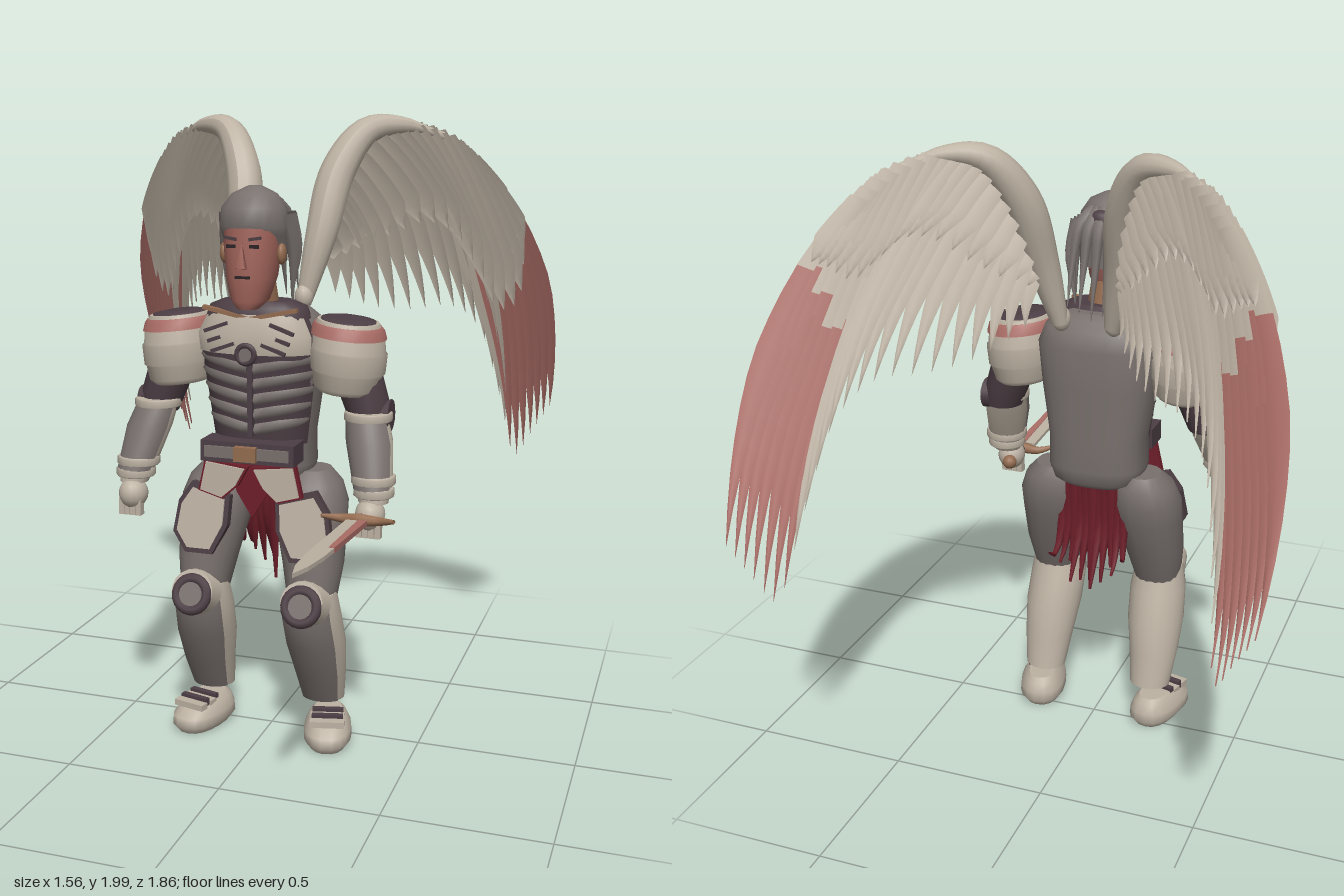
import * as THREE from 'three';

const mat = (name, color) => {
  const m = new THREE.MeshStandardMaterial({ color, side: THREE.DoubleSide });
  m.name = name;
  return m;
};
const V = (x, y, z) => new THREE.Vector3(x, y, z);

export function createModel() {
  const bone = mat('bone', 0xbdb2a3), grey = mat('steel grey', 0x78706d), dark = mat('dark plum', 0x4c3e44);
  const pink = mat('faded red', 0xab6d66), red = mat('dark red', 0x6e1f2a), skin = mat('skin', 0xa0645a);
  const tan = mat('leather', 0x946c50), black = mat('black', 0x2a2225);
  const root = new THREE.Group();
  root.name = 'wingedKnight';

  const add = (name, geo, material, parent = root) => {
    const m = new THREE.Mesh(geo, material);
    m.name = name;
    parent.add(m);
    return m;
  };
  const group = (name, parent = root) => {
    const g = new THREE.Group();
    g.name = name;
    parent.add(g);
    return g;
  };

  // Body from horizontal rings [x, y, z, rx, rz], bottom to top; a0..a1 gives a partial shell
  function loft(rows, p = 2, n = 16, a0 = 0, a1 = Math.PI * 2) {
    const pos = [], idx = [], closed = a1 - a0 > 6.28, cols = closed ? n : n + 1;
    const pw = (v) => Math.sign(v) * Math.pow(Math.abs(v), 2 / p);
    const ring = ([x, y, z, rx, rz]) => {
      for (let j = 0; j < cols; j++) {
        const a = a0 + (a1 - a0) * j / n;
        pos.push(x + rx * pw(Math.cos(a)), y, z + rz * pw(Math.sin(a)));
      }
    };
    rows.forEach(ring);
    for (let i = 0; i < rows.length - 1; i++) for (let j = 0; j < n; j++) {
      const a = i * cols + j, b = i * cols + (j + 1) % cols, c = a + cols, d = b + cols;
      idx.push(a, c, b, b, c, d);
    }
    if (closed) [rows[0], rows[rows.length - 1]].forEach((r, top) => {
      const s = pos.length / 3;
      ring(r);
      pos.push(r[0], r[1], r[2]);
      for (let j = 0; j < n; j++) {
        const k = s + j, l = s + (j + 1) % n;
        idx.push(s + n, top ? l : k, top ? k : l);
      }
    });
    const g = new THREE.BufferGeometry();
    g.setAttribute('position', new THREE.Float32BufferAttribute(pos, 3));
    g.setIndex(idx);
    g.computeVertexNormals();
    return g;
  }
  // Flat plate cut from an outline, facing +z
  const plate = (pts, depth, grow = 1) => {
    const c = pts.reduce((a, q) => [a[0] + q[0] / pts.length, a[1] + q[1] / pts.length], [0, 0]);
    const v = pts.map(([x, y]) => new THREE.Vector2(c[0] + (x - c[0]) * grow, c[1] + (y - c[1]) * grow));
    return new THREE.ExtrudeGeometry(new THREE.Shape(v), { depth, bevelEnabled: false });
  };
  const box = (w, h, d, x, y, z, rz = 0) => new THREE.BoxGeometry(w, h, d).rotateZ(rz).translate(x, y, z);
  const ball = (rx, ry, rz, x, y, z) => new THREE.SphereGeometry(1, 14, 10).scale(rx, ry, rz).translate(x, y, z);
  // Tube whose radius follows a rule
  function taperTube(points, radius, seg = 16, sides = 10) {
    const curve = new THREE.CatmullRomCurve3(points), g = new THREE.TubeGeometry(curve, seg, 1, sides);
    const p = g.attributes.position, v = V(0, 0, 0);
    for (let i = 0; i < p.count; i++) {
      const t = Math.floor(i / (sides + 1)) / seg, c = curve.getPointAt(t);
      v.fromBufferAttribute(p, i).sub(c).multiplyScalar(radius(t)).add(c);
      p.setXYZ(i, v.x, v.y, v.z);
    }
    g.computeVertexNormals();
    return g;
  }

  // Torso, front shell plates and belt
  const torso = group('torso');
  add('body', loft([[0, .865, .05, .12, .09], [0, .885, .05, .148, .113], [0, .93, .05, .16, .12], [0, 1.03, .05, .158, .12], [0, 1.2, .063, .185, .133],
    [0, 1.33, .066, .198, .136], [0, 1.385, .07, .175, .122], [0, 1.415, .075, .14, .1], [0, 1.43, .08, .09, .075]], 2.6, 28), grey, torso);
  add('collar', loft([[0, 1.39, .125, .165, .092], [0, 1.425, .125, .152, .088], [0, 1.442, .125, .11, .07]], 2.3, 22), dark, torso);
  add('abdomenLining', loft([[0, 1, .055, .156, .125], [0, 1.15, .06, .176, .136], [0, 1.28, .067, .194, .142]], 2.6, 20, .3, Math.PI - .3), dark, torso);
  for (let i = 0; i < 5; i++) for (const s of [1, -1]) {
    const y = 1.03 + i * .047, r = .158 + i * .0085, m = Math.PI / 2;
    const g = loft([[0, y, .06, r, .125 + i * .004], [0, y + .018, .064, r + .008, .14 + i * .003], [0, y + .036, .06, r, .13 + i * .004]],
      2.6, 10, s > 0 ? .3 : m + .02, s > 0 ? m - .02 : Math.PI - .3);
    const p = g.attributes.position;
    for (let k = 0; k < p.count; k++) p.setY(k, p.getY(k) + .2 * Math.abs(p.getX(k)));
    g.computeVertexNormals();
    add('abdomenPlate', g, grey, torso);
  }
  add('chestTrim', loft([[0, 1.27, .07, .19, .148], [0, 1.33, .073, .197, .152], [0, 1.418, .08, .16, .125]], 2.6, 20, .35, Math.PI - .35), dark, torso);
  add('chestPlate', loft([[0, 1.285, .073, .197, .153], [0, 1.34, .078, .2, .157], [0, 1.405, .083, .165, .132]], 2.6, 20, .5, Math.PI - .5), bone, torso);
  for (const s of [1, -1]) {
    add('collarTrim', box(.15, .012, .02, s * .075, 1.408, .207, s * .2), tan, torso);
    for (let i = 0; i < 3; i++) add('chestGroove', box(.08, .011, .01, s * (.08 + i * .012), 1.305 + i * .03, .226 - i * .004, s * -.35), dark, torso);
  }
  add('medallionRim', new THREE.TorusGeometry(.027, .009, 8, 18).translate(0, 1.29, .245), dark, torso);
  add('medallion', new THREE.CylinderGeometry(.024, .024, .02, 16).rotateX(Math.PI / 2).translate(0, 1.29, .24), grey, torso);
  add('centreSeam', box(.016, .22, .02, 0, 1.14, .2), dark, torso);
  add('belt', box(.3, .065, .1, 0, .985, .19), dark, torso);
  add('beltPanel', box(.27, .035, .012, 0, .985, .243), grey, torso);
  add('buckle', box(.07, .045, .03, 0, .985, .248), tan, torso);

  // Hip plates and torn cloth
  const skirt = group('skirt');
  add('frontCloth', plate([[-.08, .95], [.08, .95], [.05, .85], [0, .77], [-.05, .85]], .008).translate(0, 0, .185), red, skirt);
  for (const s of [1, -1]) {
    const tasset = [[.015, .93], [.14, .945], [.16, .855], [.09, .835], [.045, .875]].map(([x, y]) => [x * s, y]);
    add('hipPlateTrim', plate(tasset, .02, 1.13).translate(0, 0, .195), red, skirt);
    add('hipPlate', plate(tasset, .02).translate(0, 0, .203), bone, skirt);
  }
  for (let i = -5; i <= 5; i++) {
    const x = i * .021, y = .5 + Math.abs(i) * .024 + (i % 2 ? .02 : 0), k = ((i + 6) % 3) * .03;
    const strip = taperTube([V(x, .87, .0), V(x, .72, -.012), V(x * 1.08, .62, -.03 - k * .5), V(x * 1.12, y, -.04 - k)],
      (t) => .03 * (1 - t * .85), 8, 6);
    add('tornStrip', strip, red, skirt);
  }

  // Head
  const head = group('head');
  add('neck', loft([[0, 1.4, .13, .07, .06], [0, 1.55, .165, .058, .055]]), tan, head);
  add('face', loft([[0, 1.425, .22, .032, .035], [0, 1.45, .2, .056, .066], [0, 1.52, .183, .075, .088], [0, 1.61, .175, .085, .094],
    [0, 1.7, .17, .085, .09]], 2.2, 20), skin, head);
  add('nose', new THREE.ConeGeometry(.02, .075, 4).rotateY(Math.PI / 4).rotateX(-.15).translate(0, 1.585, .275), skin, head);
  add('mouth', box(.045, .008, .008, 0, 1.522, .27), black, head);
  add('hairCap', loft([[0, 1.56, .13, .09, .065], [0, 1.64, .155, .1, .09], [0, 1.665, .165, .104, .1], [0, 1.72, .165, .097, .095],
    [0, 1.76, .16, .068, .068], [0, 1.783, .155, .02, .02]], 2, 20), grey, head);
  for (const s of [1, -1]) {
    add('eye', box(.028, .01, .008, s * .036, 1.612, .266), black, head);
    add('eyebrow', box(.038, .009, .008, s * .038, 1.635, .266, s * .15), dark, head);
    add('ear', ball(.014, .032, .022, s * .09, 1.585, .175), tan, head);
    for (let i = 0; i < 3; i++) add('sideLock', taperTube([V(s * .09, 1.7, .16 - i * .03), V(s * .106, 1.6, .13 - i * .03),
      V(s * (.1 - i * .01), 1.42 + i * .015, .1 - i * .025)], (t) => .021 * (1.1 - t), 8, 6), grey, head);
  }
  add('hairTie', ball(.045, .03, .03, 0, 1.715, .07), dark, head);
  for (let i = -2; i <= 2; i++) add('backLock', taperTube([V(i * .014, 1.735, .09), V(i * .03, 1.7, .05), V(i * .038, 1.57, .01),
    V(i * .038, 1.42 + Math.abs(i) * .02, -.03)], (t) => .025 * (1.05 - t), 10, 6), grey, head);

  for (const s of [1, -1]) {
    const side = s > 0 ? 'left' : 'right';
    const L = (rows) => rows.map(([x, ...r]) => [x * s, ...r]);
    // A shell sector centred on the front
    const front = (rows, half) => loft(L(rows), 2, 12, Math.PI / 2 - half, Math.PI / 2 + half);

    // Arm with layered, domed shoulder guard
    const arm = group(side + 'Arm');
    const guard = group('shoulder', arm);
    guard.position.set(s * .268, 1.285, .09);
    guard.rotation.z = s * -.1;
    add('shoulderGuard', loft(L([[.012, -.115, 0, .085, .098], [.012, -.1, 0, .1, .112], [.01, -.055, 0, .108, .119], [.01, -.05, 0, .114, .124],
      [.005, .01, 0, .119, .13], [.005, .015, 0, .113, .123], [0, .065, 0, .11, .12], [-.004, .1, 0, .094, .103]]), 2, 22), bone, guard);
    add('shoulderTrim', loft(L([[.001, .055, 0, .116, .126], [-.002, .08, 0, .11, .118], [-.003, .09, 0, .102, .11]]), 2, 22), pink, guard);
    add('shoulderCap', loft(L([[-.004, .095, 0, .086, .094], [-.004, .104, 0, .083, .09], [-.008, .11, 0, .05, .055]]), 2, 18), dark, guard);
    add('upperArm', loft(L([[.345, 1.07, .09, .058, .062], [.33, 1.14, .085, .072, .074], [.295, 1.24, .08, .077, .082]])), dark, arm);
    add('elbowGuard', new THREE.CylinderGeometry(.045, .05, .04, 14).rotateZ(Math.PI / 2).translate(s * .39, 1.1, .085), dark, arm);
    add('forearm', loft(L([[.39, .86, .205, .045, .045], [.383, .92, .185, .06, .06], [.36, 1.03, .135, .068, .07], [.34, 1.11, .1, .06, .065]])), bone, arm);
    add('forearmPlate', front([[.386, .9, .197, .06, .058], [.36, 1.03, .14, .074, .074], [.345, 1.09, .115, .068, .07]], 1.2), grey, arm);
    for (const [x, y, z, r] of [[.388, .89, .195, .058], [.383, .925, .183, .064], [.345, 1.1, .108, .07]])
      add('armBand', loft(L([[x, y - .014, z, r, r], [x, y - .01, z, r + .004, r + .004], [x, y + .01, z, r + .004, r + .004], [x, y + .014, z, r, r]])), bone, arm);
    add('hand', ball(.046, .05, .05, s * .385, .825, .225), bone, arm);
    for (let i = 0; i < 4; i++) add('finger', box(.017, .055, .028, s * (.358 + i * .019), .787, .24), bone, arm);

    // Leg armour and boot
    const leg = group(side + 'Leg');
    add('thigh', loft(L([[.18, .5, .14, .075, .08], [.175, .62, .11, .095, .1], [.16, .74, .083, .11, .115], [.157, .81, .068, .113, .114],
      [.15, .87, .055, .098, .1], [.145, .91, .045, .065, .065]]), 2.2, 18), grey, leg);
    const cuisse = [[.24, .8], [.2, .86], [.08, .825], [.085, .735], [.13, .645], [.215, .645], [.255, .705]].map(([x, y]) => [x * s, y]);
    for (const [name, m, grow, z] of [['thighPlateTrim', dark, 1.06, .17], ['thighPlate', bone, .89, .176]])
      add(name, plate(cuisse, .03, grow).translate(0, -.75, 0).rotateX(-.13).translate(0, .75, z), m, leg);
    const shin = [[.19, .145, .035, .068, .06], [.19, .25, .072, .082, .08], [.185, .36, .107, .094, .1], [.18, .46, .142, .093, .1], [.18, .54, .15, .08, .085]];
    add('shin', loft(L(shin), 2, 20), bone, leg);
    add('shinPlate', front(shin.map(([x, y, z, rx, rz]) => [x, y, z, rx + .004, rz + .004]), .95), grey, leg);
    const knee = group('knee', leg);
    knee.position.set(s * .18, .52, .225);
    knee.rotation.x = -.35;
    add('kneeGuard', new THREE.CylinderGeometry(.068, .078, .06, 18).rotateX(Math.PI / 2), bone, knee);
    add('kneeRing', new THREE.TorusGeometry(.05, .017, 8, 20).translate(0, -.01, .028), dark, knee);
    add('kneeDisc', new THREE.CylinderGeometry(.04, .04, .02, 16).rotateX(Math.PI / 2).translate(0, -.01, .03), grey, knee);
    const boot = group('boot', leg);
    boot.position.set(s * .215, 0, .07);
    boot.rotation.y = s * .25;
    add('shoe', loft([[0, .005, 0, .06, .11], [0, .03, 0, .078, .13], [0, .06, 0, .076, .126], [0, .09, -.015, .06, .1], [0, .105, -.02, .045, .075]], 2.4, 18), bone, boot);
    for (const z of [.0, .05]) {
      add('bootStrap', box(.1, .03, .02, 0, .1, z), dark, boot);
      add('bootStrapPlate', box(.11, .02, .032, 0, .095, z + .025), bone, boot);
    }

    // Wing: tapered arm and fanned feathers
    const wing = group(side + 'Wing');
    const P = (pts) => pts.map(([x, y, z]) => V(x * s, y, z));
    const arc = [[.085, 1.42, -.07], [.125, 1.62, -.11], [.16, 1.82, -.18], [.235, 1.94, -.25], [.34, 1.955, -.31], [.45, 1.92, -.385], [.53, 1.845, -.45]];
    add('wingArm', taperTube(P(arc.slice(0, 6)), (t) => .026 + .037 * Math.sin(Math.PI * Math.min(1, t * 1.1)) - .012 * t, 28, 12), bone, wing);
    add('wingRoot', ball(.03, .04, .03, s * .085, 1.43, -.06), bone, wing);
    const bases = new THREE.CatmullRomCurve3(P(arc.slice(1)));
    const tips = new THREE.CatmullRomCurve3(P([[.15, 1.43, -.19], [.24, 1.37, -.33], [.35, 1.35, -.455], [.46, 1.35, -.555], [.54, 1.26, -.65],
      [.6, 1.0, -.77], [.645, .77, -.88], [.7, .86, -.91], [.755, .95, -.93]]));
    // A creased blade; lift moves it to the back (+) or front (-) of the wing
    const feather = (t, reach, width, lift, taper, redFrom) => {
      const a = bases.getPoint(t), end = tips.getPoint(t);
      const mid = a.clone().lerp(end, .45).add(V(s * (.03 + .145 * t), .06, 0));
      const curve = new THREE.QuadraticBezierCurve3(a, mid, end);
      const dir = end.clone().sub(a).normalize(), across = V(s, 0, -.4);
      across.addScaledVector(dir, -across.dot(dir)).normalize();
      const normal = across.clone().cross(dir).multiplyScalar(s).normalize();
      const pos = [], idx = [], n = 12;
      for (let i = 0; i <= n; i++) {
        const u = i / n, c = curve.getPoint(u * reach).addScaledVector(normal, lift);
        const w = width * Math.min(.75 + .35 * u, Math.pow((1 - u) / taper, .9));
        for (const k of [-1, 0, 1]) {
          const q = c.clone().addScaledVector(across, k * w).addScaledVector(normal, k ? 0 : .006);
          pos.push(q.x, q.y, q.z);
        }
        if (i < n) for (const k of [0, 1]) {
          const o = i * 3 + k;
          idx.push(...(s > 0 ? [o, o + 3, o + 1, o + 1, o + 3, o + 4] : [o, o + 1, o + 3, o + 1, o + 4, o + 3]));
        }
      }
      const g = new THREE.BufferGeometry();
      g.setAttribute('position', new THREE.Float32BufferAttribute(pos, 3));
      g.setIndex(idx);
      const cut = Math.round(n * redFrom) * 12;
      g.addGroup(0, cut, 0);
      if (cut < n * 12) g.addGroup(cut, n * 12 - cut, 1);
      g.computeVertexNormals();
      return g;
    };
    for (let i = 0; i < 22; i++) {
      const t = i / 21;
      add('flightFeather', feather(t, 1, .034 + .006 * t, 0, .5, t > .7 ? .45 - .2 * (t - .7) / .3 : 1), [bone, pink], wing);
    }
    for (let i = 0; i < 18; i++) {
      const t = i / 17;
      add('backCovert', feather(t, .55 - .32 * t, .036, .016, .35, 1), [bone, pink], wing);
      add('frontCovert', feather(t, .56 - 1.5 * Math.max(0, t - .86), .038, -.014, .25, 1), [bone, pink], wing);
    }
  }

  // Sword held in the left hand
  const sword = group('sword');
  sword.position.set(.37, .825, .29);
  sword.rotation.x = -.055;
  const flat = (pts, h) => plate(pts, h).rotateX(Math.PI / 2).translate(0, h / 2, 0);
  add('blade', flat([[-.032, .03], [.03, .03], [.027, .45], [.018, .56], [0, .64], [-.018, .56], [-.027, .45]], .012), bone, sword);
  add('bladeStain', flat([[.004, .031], [.031, .031], [.029, .36], [.012, .36]], .016), pink, sword);
  add('guard', taperTube([V(-.11, .01, .025), V(-.06, 0, -.005), V(0, 0, 0), V(.06, 0, -.005), V(.11, .01, .025)],
    (t) => .02 - .028 * Math.abs(t - .5), 16, 8), tan, sword);
  add('grip', new THREE.CylinderGeometry(.016, .016, .12, 10).rotateX(Math.PI / 2).translate(0, 0, -.05), dark, sword);
  add('pommel', ball(.024, .024, .024, 0, 0, -.12), tan, sword);
  return root;
}
